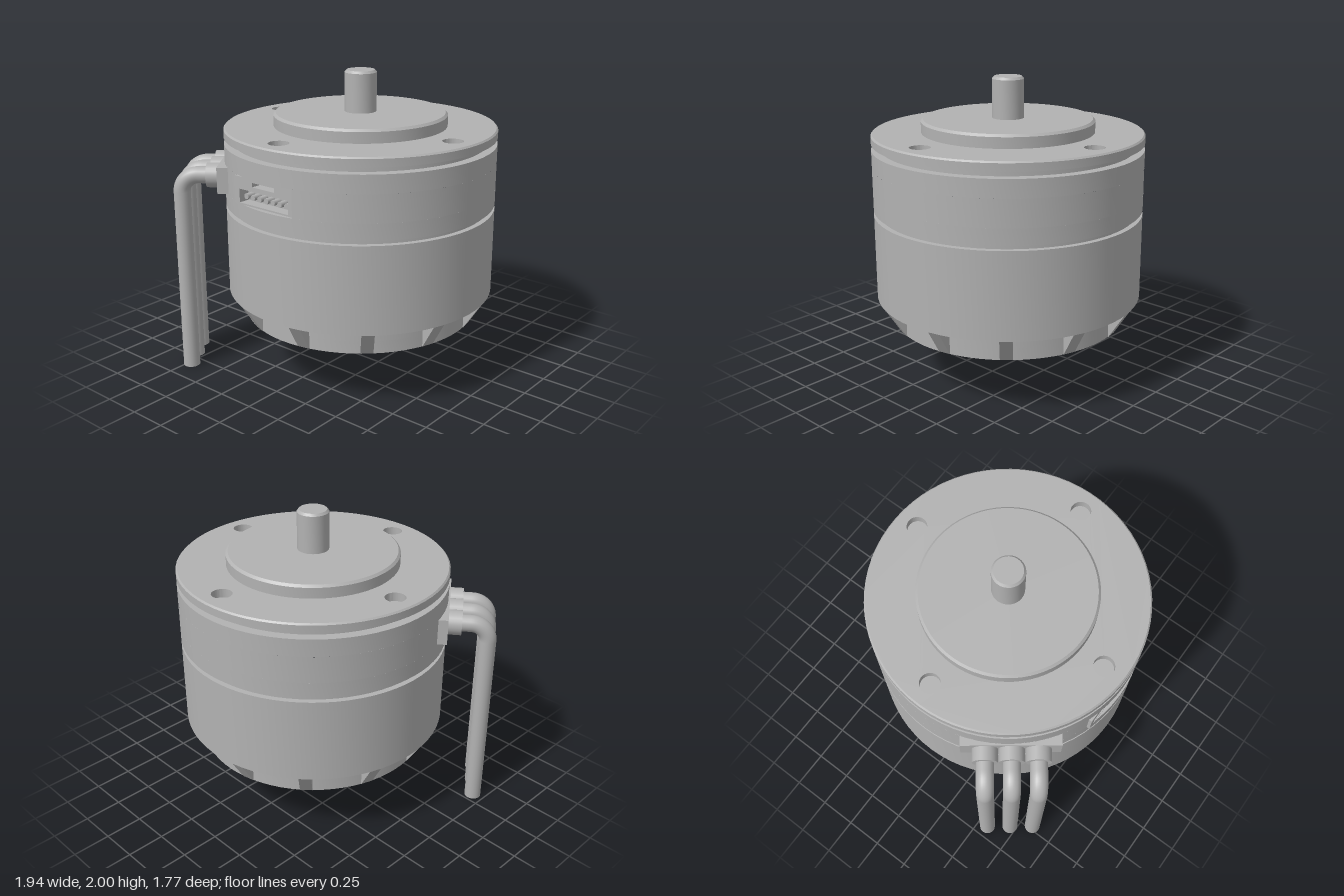
import * as THREE from 'three';
import { toCreasedNormals } from 'three/addons/utils/BufferGeometryUtils.js';

const SEG = 72;
const CX = 0.085; // motor axis offset along x

export function createModel() {
  const metal = new THREE.MeshStandardMaterial({ color: 0xb2b2b2 });
  metal.name = 'plainGrey';

  const model = new THREE.Group();
  model.name = 'electricMotor';
  const motor = new THREE.Group();
  motor.name = 'motor';
  motor.position.x = CX;
  model.add(motor);

  const add = (parent, name, geometry, x = 0, y = 0, z = 0) => {
    const mesh = new THREE.Mesh(geometry, metal);
    mesh.name = name;
    mesh.position.set(x, y, z);
    parent.add(mesh);
    return mesh;
  };
  // Turned part from [radius, height] pairs, listed bottom to top
  const turned = (name, pts, start = 0, length = Math.PI * 2, seg = SEG) => add(motor, name,
    toCreasedNormals(new THREE.LatheGeometry(pts.map(p => new THREE.Vector2(...p)), seg, start, length), 0.4));
  // Flat disc with round holes given as [x, z, radius]
  const drilledDisc = (name, radius, y, height, holes) => {
    const shape = new THREE.Shape().absarc(0, 0, radius, 0, Math.PI * 2);
    for (const [x, z, r] of holes) shape.holes.push(new THREE.Path().absarc(x, -z, r, 0, Math.PI * 2, true));
    const geo = new THREE.ExtrudeGeometry(shape, { depth: height, bevelEnabled: false, curveSegments: SEG / 2 });
    geo.rotateX(-Math.PI / 2);
    return add(motor, name, toCreasedNormals(geo, 0.4), 0, y);
  };

  // Lower bell, groove and casing up to the connector window
  turned('lowerCasing', [[0.768, 0.39], [0.768, 0.56], [0.88, 0.56], [0.88, 1.125], [0.845, 1.125],
    [0.845, 1.155], [0.88, 1.155], [0.88, 1.26], [0.6, 1.26]]);
  // Casing band, left open where the connector sits
  turned('connectorBand', [[0.88, 1.26], [0.88, 1.435]], 0.211, Math.PI * 2 - 0.211 - 0.342);
  // Upper casing, neck and flange rim
  turned('upperCasing', [[0.6, 1.435], [0.88, 1.435], [0.88, 1.55], [0.82, 1.55], [0.82, 1.59],
    [0.88, 1.59], [0.88, 1.64], [0.87, 1.65]]);

  // Flange face with four mounting holes
  const mounts = [0, 1, 2, 3].map(i => {
    const a = i * Math.PI / 2 + 0.043;
    return [0.733 * Math.cos(a), 0.733 * Math.sin(a), 0.065];
  });
  drilledDisc('flangeFace', 0.87, 1.594, 0.056, mounts);
  const floor = new THREE.CircleGeometry(0.86, SEG);
  floor.rotateX(-Math.PI / 2);
  add(motor, 'mountingHoleFloor', floor, 0, 1.592);

  // Raised pilot and shafts
  turned('pilotBoss', [[0.56, 1.645], [0.56, 1.72], [0.545, 1.735], [0, 1.735]]);
  turned('outputShaft', [[0.103, 1.73], [0.103, 1.985], [0.09, 2], [0, 2]], 0, Math.PI * 2, 32);
  turned('rearShaft', [[0, 0.185], [0.133, 0.185], [0.147, 0.2], [0.147, 0.4]], 0, Math.PI * 2, 32);

  // Base plate with one small hole
  drilledDisc('basePlate', 0.768, 0.39, 0.08, [[0.17, -0.21, 0.047]]);
  const ceiling = new THREE.CircleGeometry(0.7, SEG);
  ceiling.rotateX(Math.PI / 2);
  add(motor, 'baseHoleEnd', ceiling, 0, 0.472);

  // Sloping ribs around the bell
  const ribShape = new THREE.Shape([[0.7, 0.391], [0.77, 0.391], [0.878, 0.561], [0.7, 0.561]]
    .map(p => new THREE.Vector2(...p)));
  const ribGeo = new THREE.ExtrudeGeometry(ribShape, { depth: 0.08, bevelEnabled: false });
  ribGeo.translate(0, 0, -0.04);
  for (let i = 0; i < 12; i++) {
    add(motor, 'bellRib', ribGeo).rotation.y = (12 + i * 30) * Math.PI / 180 - Math.PI / 2;
  }

  // Connector: framed housing with a socket, a latch slot and seven pins
  const connector = new THREE.Group();
  connector.name = 'connector';
  model.add(connector);
  const rect = (T, x0, y0, x1, y1) => new T([[x0, y0], [x1, y0], [x1, y1], [x0, y1]]
    .map(p => new THREE.Vector2(...p)));
  const frame = rect(THREE.Shape, -0.21, 1.26, 0.27, 1.435);
  frame.holes.push(rect(THREE.Path, -0.17, 1.27, 0.23, 1.357), rect(THREE.Path, -0.06, 1.385, 0.12, 1.412));
  add(connector, 'connectorFrame', new THREE.ExtrudeGeometry(frame, { depth: 0.1, bevelEnabled: false }), 0, 0, 0.75);
  add(connector, 'socketBack', new THREE.BoxGeometry(0.48, 0.175, 0.04), 0.03, 1.3475, 0.755);
  const pinGeo = new THREE.CylinderGeometry(0.018, 0.018, 0.07, 12);
  pinGeo.rotateX(Math.PI / 2);
  for (let i = 0; i < 7; i++) add(connector, 'connectorPin', pinGeo, -0.128 + i * 0.055, 1.312, 0.8);

  // Cable outlet: backing block, three collars and three bent cables
  const outlet = new THREE.Group();
  outlet.name = 'cableOutlet';
  outlet.position.x = CX;
  outlet.rotation.y = Math.atan2(-0.8, 0.6);
  model.add(outlet);
  add(outlet, 'outletBlock', new THREE.BoxGeometry(0.62, 0.17, 0.1), 0.013, 1.345, 0.84);
  const collarGeo = new THREE.CylinderGeometry(0.08, 0.08, 0.1, 24);
  collarGeo.rotateX(Math.PI / 2);
  const V = (y, z) => new THREE.Vector3(0, y, z);
  const path = new THREE.CurvePath();
  path.add(new THREE.LineCurve3(V(1.345, 0.9), V(1.345, 1.035)));
  const k = 0.0607, b = 0.11; // near-circular bend
  path.add(new THREE.CubicBezierCurve3(V(1.345, 1.145 - b), V(1.345, 1.145 - b + k), V(1.345 - b + k, 1.145), V(1.345 - b, 1.145)));
  path.add(new THREE.LineCurve3(V(1.345 - b, 1.145), V(0, 1.145)));
  const cableGeo = new THREE.TubeGeometry(path, 120, 0.055, 20);
  const endGeo = new THREE.CircleGeometry(0.055, 20);
  endGeo.rotateX(Math.PI / 2);
  for (let i = -1; i <= 1; i++) {
    const x = 0.018 + i * 0.164;
    add(outlet, 'cableCollar', collarGeo, x, 1.345, 0.925);
    add(outlet, 'cable', cableGeo, x);
    add(outlet, 'cableEnd', endGeo, x, 0, 1.145);
  }
  return model;
}
